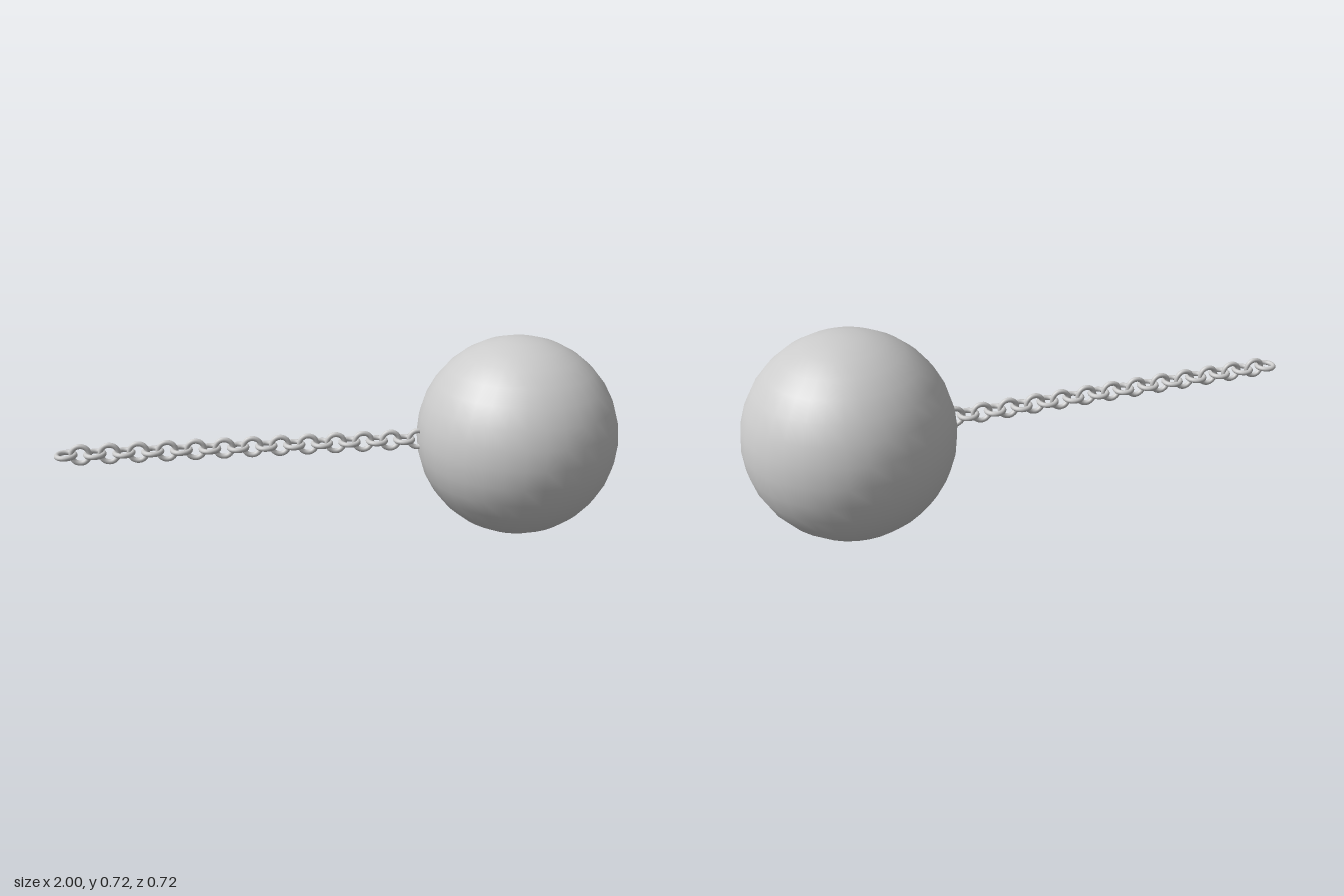
import * as THREE from 'three';

const RADIUS = 0.361;
const LINKS = 26;
const PITCH = 0.0494;

export function createModel() {
  const model = new THREE.Group();
  const metal = new THREE.MeshStandardMaterial({ color: 0xcccccc });

  // heavy ball
  const ball = new THREE.Mesh(new THREE.SphereGeometry(RADIUS, 32, 16), metal);
  ball.name = 'ball';
  ball.position.set(1 - RADIUS, RADIUS, 0);
  model.add(ball);

  // chain of round links, alternately flat and upright; the last sinks into the ball
  const chain = new THREE.Group();
  chain.name = 'chain';
  chain.position.set(-0.96, RADIUS, 0);
  const ring = new THREE.TorusGeometry(0.031, 0.009, 12, 24);
  for (let i = 0; i < LINKS; i++) {
    const link = new THREE.Mesh(ring, metal);
    link.name = i % 2 ? 'uprightLink' : 'flatLink';
    link.position.x = i * PITCH;
    if (i % 2 === 0) link.rotation.x = Math.PI / 2;
    chain.add(link);
  }
  model.add(chain);

  return model;
}
